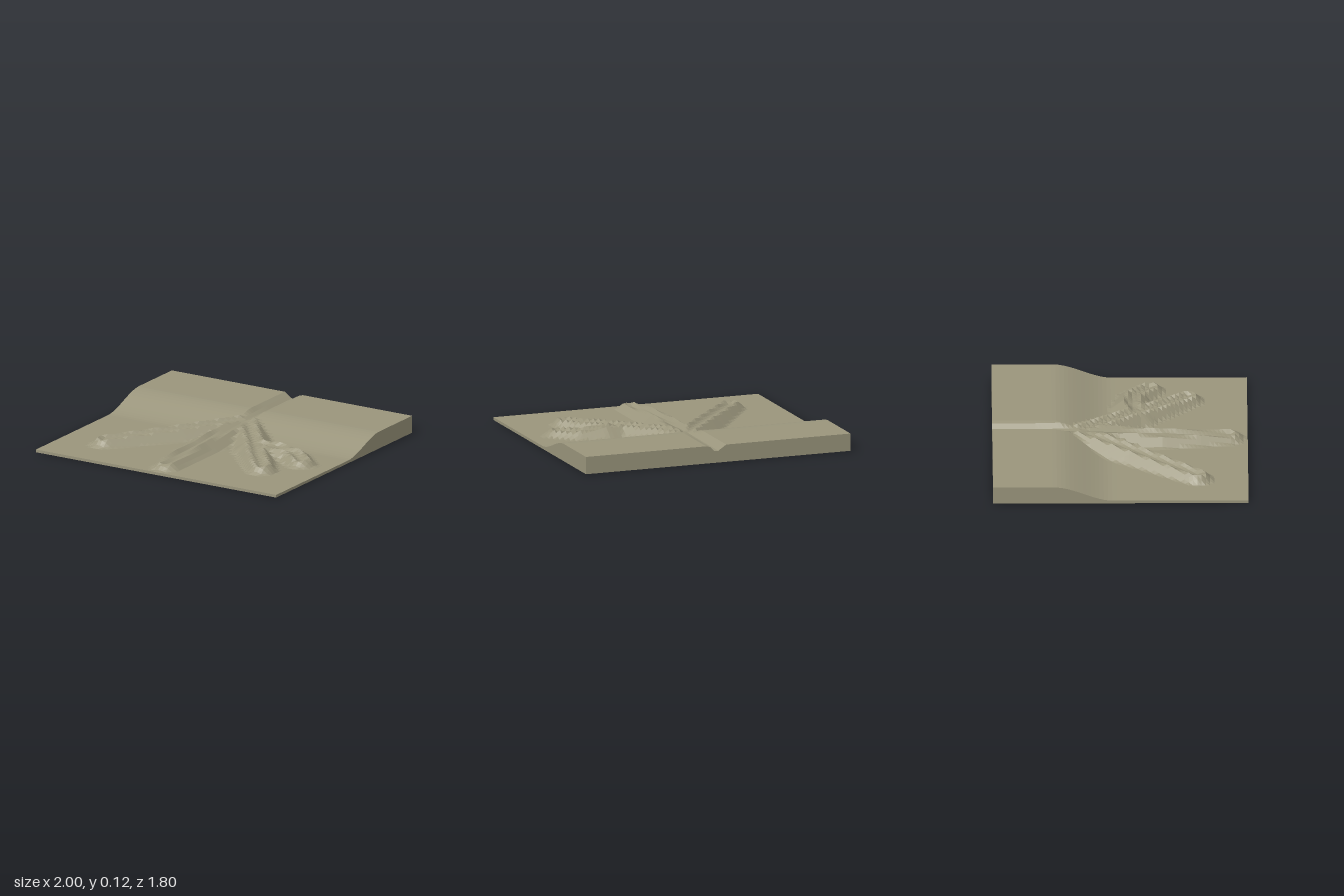
import * as THREE from 'three';

const HALF_WIDTH = 0.05; // channel centre to levee crest
const v = (x, z) => new THREE.Vector2(x, z);

// Delta channels: centre line, then crest height at the start and the tip
const channels = [
  { points: [v(-0.02, -0.27), v(-0.3, 0.1), v(-0.65, 0.54)], start: 0.115, end: 0.078 },
  { points: [v(0, -0.27), v(0, 0), v(-0.025, 0.3), v(-0.01, 0.55), v(0.01, 0.77)], start: 0.115, end: 0.068 },
  { points: [v(0.02, -0.27), v(0.3, 0.08), v(0.45, 0.28), v(0.62, 0.48)], start: 0.115, end: 0.078 },
  { points: [v(0.34, 0.12), v(0.48, 0.08), v(0.65, 0.11), v(0.78, 0.21)], start: 0.105, end: 0.072 },
];
const feeder = [v(0.01, -1), v(0.01, -0.6), v(0, -0.25)];

// Distance to a polyline, and how far along it (0 to 1) the nearest point lies
function nearest(points, x, z) {
  let best = { d: Infinity, t: 0 };
  const n = points.length - 1;
  for (let i = 0; i < n; i++) {
    const a = points[i], b = points[i + 1];
    const dx = b.x - a.x, dz = b.y - a.y;
    const s = THREE.MathUtils.clamp(((x - a.x) * dx + (z - a.y) * dz) / (dx * dx + dz * dz), 0, 1);
    const d = Math.hypot(x - a.x - s * dx, z - a.y - s * dz);
    if (d < best.d) best = { d, t: (i + s) / n };
  }
  return best;
}

function surfaceHeight(x, z) {
  // High shelf at the back easing down to the low plain
  let y = 0.02 + 0.105 * (1 - THREE.MathUtils.smoothstep(z, -0.47, -0.05));
  let bed = Infinity;

  // Raised levees, wider near the apex
  for (const { points, start, end } of channels) {
    const { d, t } = nearest(points, x, z);
    const crest = THREE.MathUtils.lerp(start, end, t);
    const flank = THREE.MathUtils.lerp(0.12, 0.06, t);
    const fall = THREE.MathUtils.clamp((d - HALF_WIDTH) / flank, 0, 1);
    y = Math.max(y, crest + (0.02 - crest) * fall);
    if (d < HALF_WIDTH) bed = Math.min(bed, crest - 0.03 * (1 - (d / HALF_WIDTH) ** 2));
  }

  // Feeder channel cut through the shelf
  const { d } = nearest(feeder, x, z);
  if (d < 0.065) bed = Math.min(bed, 0.085 + 0.04 * THREE.MathUtils.smoothstep(d, 0.015, 0.065));
  return Math.min(y, bed);
}

export function createModel() {
  const group = new THREE.Group();
  group.name = 'channelDeltaTerrain';

  // Solid slab whose upper vertices follow the terrain height
  const geometry = new THREE.BoxGeometry(2, 1, 1.8, 66, 1, 60);
  const pos = geometry.attributes.position;
  for (let i = 0; i < pos.count; i++) {
    pos.setY(i, pos.getY(i) > 0 ? surfaceHeight(pos.getX(i), pos.getZ(i)) : 0);
  }
  geometry.computeVertexNormals();

  const material = new THREE.MeshStandardMaterial({ color: 0x9a957c, flatShading: true });
  const terrain = new THREE.Mesh(geometry, material);
  terrain.name = 'terrainSlab';
  group.add(terrain);
  return group;
}
